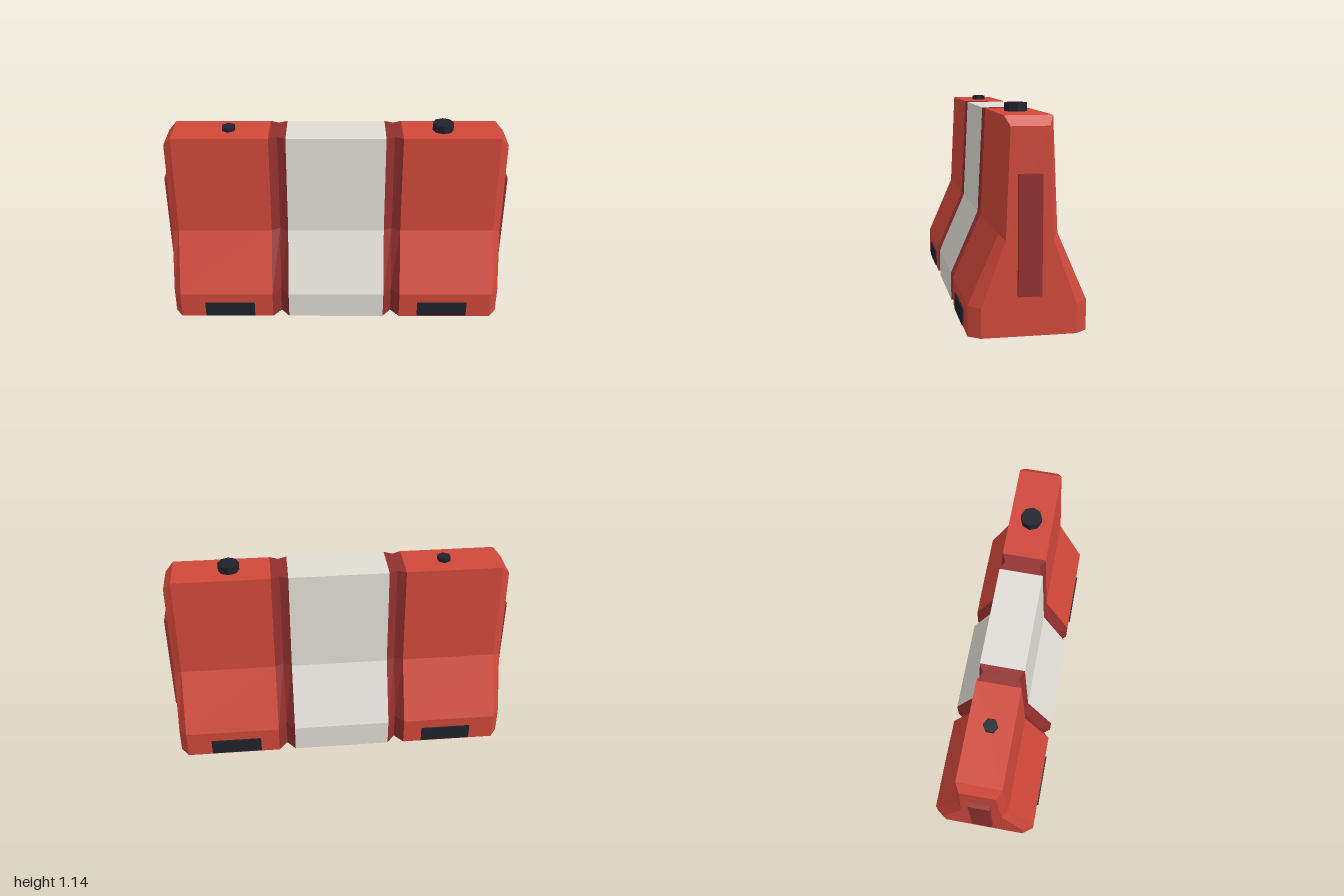
import * as THREE from 'three';

const material = (name, color) => {
  const m = new THREE.MeshStandardMaterial({ color });
  m.name = name;
  return m;
};

// Half of the barrier cross-section: [half depth, height], bottom to top
const PROFILE = [[0.305, 0], [0.305, 0.16], [0.15, 0.515], [0.122, 1.1]];

// Lofts the profile along x; stations are [x, depth scale, height scale], x rising
function loft(stations) {
  const pos = [];
  const quad = (a, b, c, d) => pos.push(...a, ...b, ...c, ...a, ...c, ...d);
  const n = PROFILE.length;
  const rings = stations.map(([x, sz, sy]) => [
    ...PROFILE.map(([z, y]) => [x, y * sy, z * sz]),
    ...PROFILE.slice().reverse().map(([z, y]) => [x, y * sy, -z * sz]),
  ]);
  for (let s = 0; s < rings.length - 1; s++) {
    const a = rings[s], b = rings[s + 1];
    for (let i = 0; i < 2 * n; i++) {
      const j = (i + 1) % (2 * n);
      quad(a[i], b[i], b[j], a[j]);
    }
  }
  // End faces, built as bands between the front and back outlines
  const first = rings[0], last = rings[rings.length - 1];
  for (let i = 0; i < n - 1; i++) {
    const k = 2 * n - 1 - i;
    quad(last[i], last[k], last[k - 1], last[i + 1]);
    quad(first[k], first[i], first[i + 1], first[k - 1]);
  }
  const g = new THREE.BufferGeometry();
  g.setAttribute('position', new THREE.Float32BufferAttribute(pos, 3));
  g.computeVertexNormals();
  return g;
}

export function createModel() {
  const model = new THREE.Group();
  model.name = 'roadBarrier';
  const red = material('red plastic', 0xd0483a);
  const white = material('off-white plastic', 0xe0ddd5);
  const maroon = material('dark red plastic', 0x92302f);
  const dark = material('black rubber', 0x20222c);
  for (const m of [red, white, maroon, dark]) m.flatShading = true;

  const add = (name, geometry, mat, x = 0, y = 0, z = 0) => {
    const mesh = new THREE.Mesh(geometry, mat);
    mesh.name = name;
    mesh.position.set(x, y, z);
    model.add(mesh);
  };

  // White middle band
  add('middleBand', loft([[-0.283, 1, 1], [0.283, 1, 1]]), white);

  for (const [side, s] of [['left', 1], ['right', -1]]) {
    const ordered = (st) => st.map(([x, z, y]) => [x * s, z, y]).sort((a, b) => a[0] - b[0]);
    // Red end block with chamfered outer end
    add(side + 'Block', loft(ordered([[0.38, 1, 1], [0.93, 1, 1], [0.975, 0.8, 0.955]])), red);
    // V-shaped groove beside the middle band
    add(side + 'Groove', loft(ordered([[0.283, 1, 1], [0.331, 0.8, 1], [0.38, 1, 1]])), maroon);
    // Connector plate on the end
    add(side + 'EndPlate', new THREE.BoxGeometry(0.03, 0.61, 0.12), maroon, s * 0.985, 0.515, 0);
    // Fork slots at the foot, front and back
    for (const [face, f] of [['Front', 1], ['Back', -1]])
      add(side + face + 'Slot', new THREE.BoxGeometry(0.296, 0.092, 0.009), dark, s * 0.637, 0.055, f * 0.3085);
  }

  // Filler cap and smaller drain plug on top
  add('fillerCap', new THREE.CylinderGeometry(0.06, 0.06, 0.045, 8), dark, 0.612, 1.1225, 0);
  add('drainPlug', new THREE.CylinderGeometry(0.04, 0.04, 0.025, 6), dark, -0.613, 1.1125, 0);
  return model;
}
